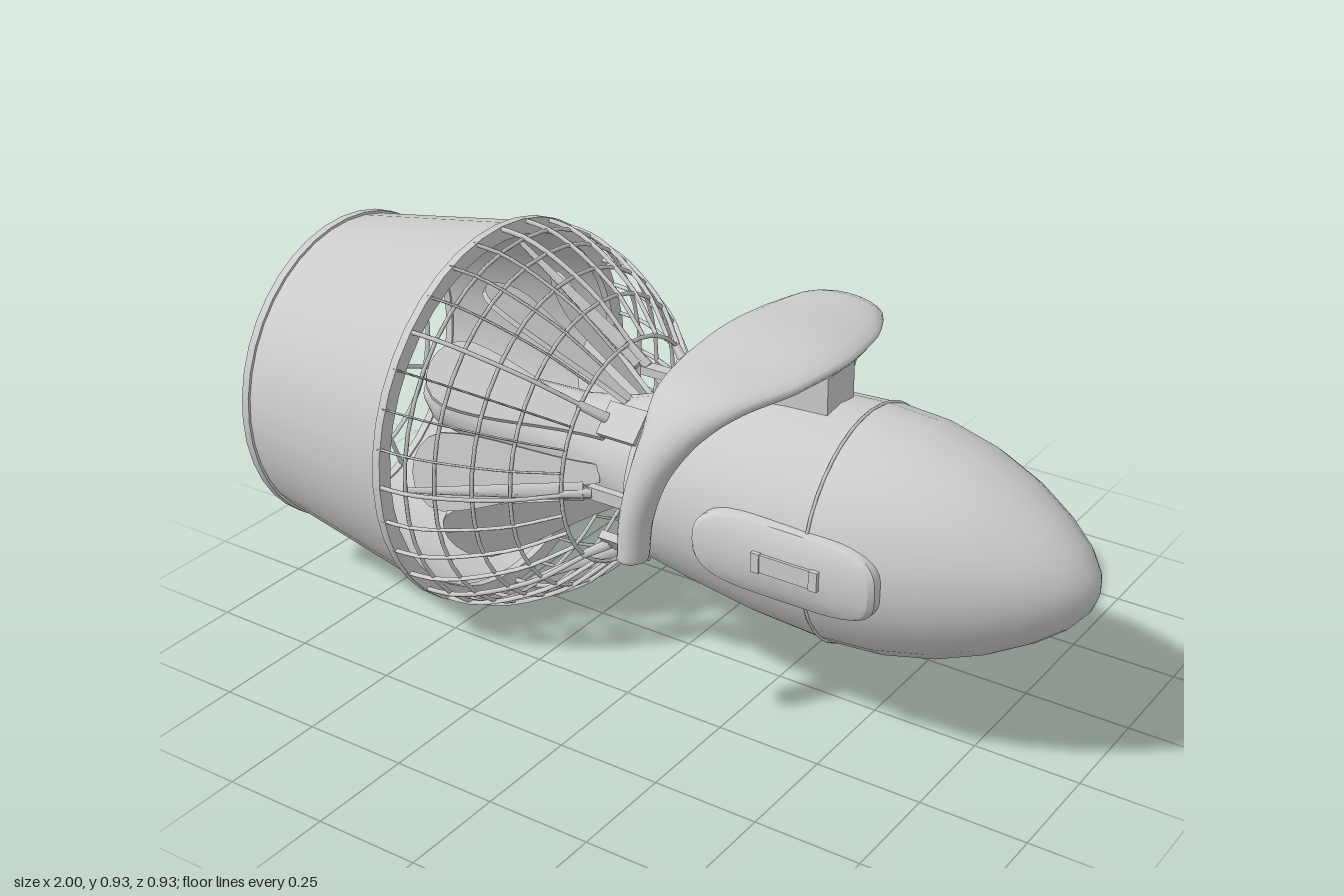
import * as THREE from 'three';
import { toCreasedNormals } from 'three/addons/utils/BufferGeometryUtils.js';

const AXIS_Y = 0.468;
const mat = new THREE.MeshStandardMaterial({ color: 0xcccccc, side: THREE.DoubleSide });
const V = (x, y, z = 0) => new THREE.Vector3(x, y, z);

function add(parent, name, geometry) {
  const mesh = new THREE.Mesh(geometry, mat);
  mesh.name = name;
  parent.add(mesh);
  return mesh;
}

// Turned part around the x axis; points are [x, radius], from back to front on the outside
function spin(points, segments = 32, crease = 0.6) {
  const g = new THREE.LatheGeometry(points.map(([x, r]) => new THREE.Vector2(r, x)), segments);
  return toCreasedNormals(g.rotateZ(-Math.PI / 2), crease);
}

const hoop = (x, r, t) => new THREE.TorusGeometry(r, t, 5, 40).rotateY(Math.PI / 2).translate(x, 0, 0);
const box = (w, h, d, x, y, z) => new THREE.BoxGeometry(w, h, d).translate(x, y, z);

// Tapered rod between two points
function rod(a, b, ra, rb, sides = 5) {
  const d = b.clone().sub(a);
  const g = new THREE.CylinderGeometry(rb, ra, d.length(), sides);
  g.applyQuaternion(new THREE.Quaternion().setFromUnitVectors(V(0, 1, 0), d.normalize()));
  return g.translate((a.x + b.x) / 2, (a.y + b.y) / 2, (a.z + b.z) / 2);
}

// Repeat a part around the x axis
function around(parent, count, offset, build) {
  for (let i = 0; i < count; i++) {
    const g = new THREE.Group();
    g.rotation.x = offset + (i / count) * Math.PI * 2;
    parent.add(g);
    build(g, i);
  }
}

function addHull(root) {
  add(root, 'hull', spin([[-0.03, 0], [-0.03, 0.217], [0.1, 0.237], [0.28, 0.259], [0.46, 0.268], [0.58, 0.26],
    [0.7, 0.232], [0.8, 0.192], [0.89, 0.14], [0.95, 0.093], [0.985, 0.05], [0.997, 0.02], [1, 0]], 24));
  add(root, 'hullSeam', hoop(0.46, 0.268, 0.004));
  add(root, 'seamTab', box(0.012, 0.02, 0.03, 0.46, -0.268, 0));
  add(root, 'motorTail', spin([[-0.75, 0], [-0.74, 0.04], [-0.69, 0.075], [-0.6, 0.09], [-0.3, 0.1], [-0.16, 0.13], [-0.02, 0.18]], 24));
}

function addShroud(root) {
  add(root, 'shroud', spin([[-0.99, 0.365], [-0.99, 0.378], [-0.52, 0.455], [-0.52, 0.442], [-0.99, 0.365]], 40));
  const rim = (x, outer, inner, w) =>
    spin([[x - w, inner], [x - w, outer], [x + w, outer], [x + w, inner], [x - w, inner]], 40);
  add(root, 'rearRim', rim(-0.99, 0.386, 0.362, 0.01));
  add(root, 'frontRim', rim(-0.52, 0.467, 0.43, 0.01));
  // Rear safety grille
  const grille = new THREE.Group();
  grille.name = 'rearGrille';
  root.add(grille);
  for (const r of [0.07, 0.17, 0.27]) add(grille, 'grilleRing', hoop(-0.985, r, 0.006));
  around(grille, 8, Math.PI / 8, g =>
    add(g, 'grilleSpoke', rod(V(-0.985, 0.07), V(-0.985, 0.37), 0.006, 0.006)));
}

function addCage(root) {
  const cage = new THREE.Group();
  cage.name = 'frontCage';
  root.add(cage);
  const curve = new THREE.CatmullRomCurve3([V(-0.52, 0.461), V(-0.45, 0.455), V(-0.385, 0.434), V(-0.31, 0.396),
    V(-0.24, 0.35), V(-0.16, 0.27)]);
  curve.points.slice(1).forEach(p => add(cage, 'cageRing', hoop(p.x, p.y - 0.004, 0.005)));
  // Bars are thin ribs, deeper than they are wide; every fourth one is heavier
  around(cage, 32, 0, (g, i) => {
    const bar = new THREE.TubeGeometry(curve, 12, 0.006, 6);
    add(g, 'cageBar', bar.scale(1, 1, i % 4 ? 0.4 : 0.9));
  });
  // Brackets tying the cage to the hull: broad on the diagonals, narrow on the main axes
  around(cage, 8, 0, (g, i) => {
    add(g, 'bracketArm', rod(V(-0.165, 0.268), V(-0.11, 0.222), 0.01, 0.013));
    add(g, 'bracket', box(0.1, 0.02, i % 2 ? 0.08 : 0.03, -0.07, 0.215, 0));
  });
  // Tapered struts
  around(cage, 4, 0, g => add(g, 'strut', rod(V(-0.13, 0.225), V(-0.46, 0.442), 0.024, 0.007, 4)));
}

function addPropeller(root) {
  const prop = new THREE.Group();
  prop.name = 'propeller';
  root.add(prop);
  const s = new THREE.Shape();
  s.moveTo(0, -0.02);
  s.bezierCurveTo(0.15, -0.04, 0.25, -0.09, 0.36, -0.09);
  s.bezierCurveTo(0.45, -0.08, 0.45, 0.08, 0.36, 0.09);
  s.bezierCurveTo(0.25, 0.09, 0.15, 0.04, 0, 0.02);
  const blade = new THREE.ExtrudeGeometry(s, { depth: 0.012, bevelEnabled: false, curveSegments: 8 });
  blade.rotateX(Math.PI / 2 + 0.4).rotateZ(Math.atan2(0.2, -0.37)).translate(-0.16, 0.12, 0);
  around(prop, 8, 0.08, g => add(g, 'blade', blade));
}

// Domed plate with a rounded-rectangle outline, curved to follow the hull; profile is [outline scale, height]
function domedPlate(w, h, profile) {
  const g = new THREE.LatheGeometry(profile.map(([r, z]) => new THREE.Vector2(r, z)), 40).rotateX(Math.PI / 2);
  const p = g.attributes.position;
  const soften = (c, power) => Math.sign(c) * Math.abs(c) ** power;
  for (let i = 0; i < p.count; i++) {
    const r = Math.hypot(p.getX(i), p.getY(i)) || 1;
    const x = (w / 2) * r * soften(p.getX(i) / r, 0.5);
    const y = (h / 2) * r * soften(p.getY(i) / r, 0.7);
    p.setXYZ(i, x, y, p.getZ(i) - 2 * y * y);
  }
  g.computeVertexNormals();
  return toCreasedNormals(g, 0.5);
}

function addSidePods(root) {
  for (const side of [0, 1]) {
    const pod = new THREE.Group();
    pod.name = side ? 'backPod' : 'frontPod';
    const plate = domedPlate(0.445, 0.178, [[1, 0.21], [1, 0.27], [0.95, 0.28], [0.9, 0.282], [0.6, 0.285],
      [0.3, 0.287], [0, 0.287]]);
    add(pod, 'podPlate', plate.translate(0.41, 0.002, 0));
    add(pod, 'podLatch', box(0.14, 0.042, 0.012, 0.43, 0.008, 0.286));
    for (const x of [0.36, 0.5]) add(pod, 'latchClip', box(0.02, 0.045, 0.016, x, 0.008, 0.287));
    if (side) pod.scale.z = -1;
    root.add(pod);
  }
}

// Arched handle: elliptical sections swept from one grip, over the wide top, to the other
function handleGeometry() {
  const half = [ // z, y, rear x, front x, half thickness
    [0.408, 0.468, 0.125, 0.135, 0.004], [0.408, 0.472, 0.1, 0.165, 0.037], [0.406, 0.56, 0.105, 0.175, 0.038],
    [0.393, 0.66, 0.12, 0.205, 0.038], [0.36, 0.745, 0.13, 0.255, 0.038], [0.3, 0.803, 0.115, 0.315, 0.034],
    [0.16, 0.823, 0.09, 0.38, 0.031]];
  const all = [...half, [0, 0.831, 0.085, 0.405, 0.035], ...half.map(([z, ...r]) => [-z, ...r]).reverse()];
  const path = new THREE.CatmullRomCurve3(all.map(([z, y, a, b]) => V((a + b) / 2, y, z)));
  const size = new THREE.CatmullRomCurve3(all.map(([, , a, b, t]) => V((b - a) / 2, t)));
  const rings = 84, sides = 20, pos = [], index = [];
  for (let i = 0; i <= rings; i++) {
    const t = i / rings, p = path.getPoint(t), d = size.getPoint(t), tan = path.getTangent(t);
    const len = Math.hypot(tan.y, tan.z) || 1;
    for (let j = 0; j < sides; j++) {
      const a = (j / sides) * Math.PI * 2, n = (d.y * Math.sin(a)) / len;
      pos.push(p.x + d.x * Math.cos(a), p.y - n * tan.z, p.z + n * tan.y);
      if (i === rings) continue;
      const k = i * sides + j, m = i * sides + ((j + 1) % sides);
      index.push(k, k + sides, m, m, k + sides, m + sides);
    }
  }
  const g = new THREE.BufferGeometry();
  g.setAttribute('position', new THREE.Float32BufferAttribute(pos, 3));
  g.setIndex(index);
  g.computeVertexNormals();
  return g;
}

function addHandle(root) {
  const handle = new THREE.Group();
  handle.name = 'handle';
  handle.position.y = -AXIS_Y;
  root.add(handle);
  add(handle, 'handleArch', handleGeometry());
  add(handle, 'handlePost', box(0.17, 0.1, 0.11, 0.3, 0.76, 0));
  // Trigger behind the post
  add(handle, 'triggerArm', box(0.2, 0.015, 0.04, 0.13, 0.757, 0));
  add(handle, 'triggerBar', box(0.03, 0.015, 0.14, 0.04, 0.765, 0));
  for (const z of [-0.06, 0.06]) add(handle, 'triggerPin', rod(V(0.06, 0.74, z), V(0.06, 0.775, z), 0.007, 0.007, 8));
}

export function createModel() {
  const model = new THREE.Group();
  model.name = 'underwaterScooter';
  const root = new THREE.Group();
  root.name = 'scooterBody';
  root.position.y = AXIS_Y;
  model.add(root);
  addHull(root);
  addShroud(root);
  addCage(root);
  addPropeller(root);
  addSidePods(root);
  addHandle(root);
  return model;
}
